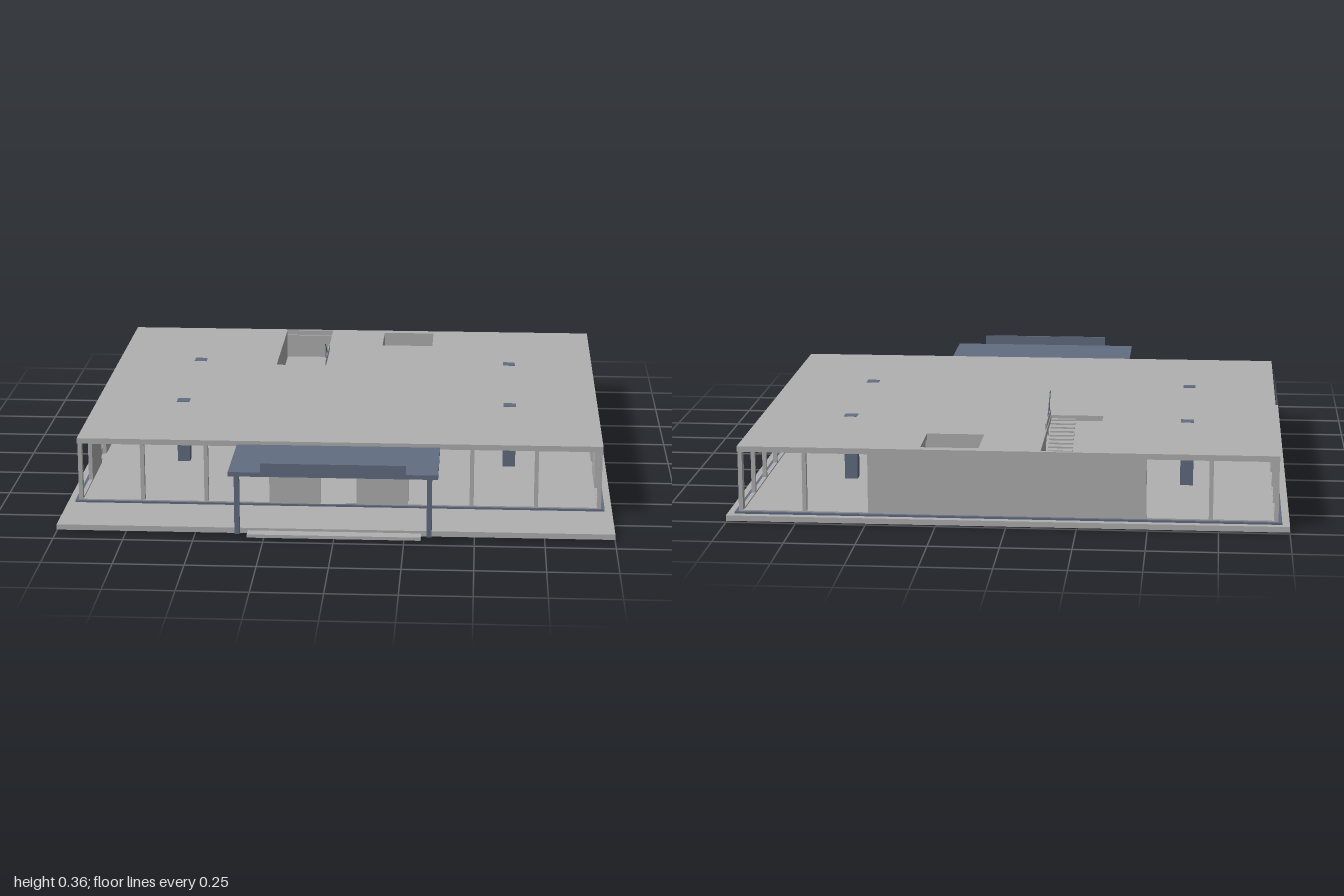
import * as THREE from 'three';

export function createModel() {
  const model = new THREE.Group();
  const concrete = new THREE.MeshStandardMaterial({ color: 0xb0b0b0 });
  concrete.name = 'concrete grey';
  const steel = new THREE.MeshStandardMaterial({ color: 0x626d82 });
  steel.name = 'steel blue';

  // Box given by its min and max on each axis
  const box = (name, mat, [x0, x1], [y0, y1], [z0, z1], parent = model) => {
    const mesh = new THREE.Mesh(new THREE.BoxGeometry(x1 - x0, y1 - y0, z1 - z0), mat);
    mesh.position.set((x0 + x1) / 2, (y0 + y1) / 2, (z0 + z1) / 2);
    mesh.name = name;
    parent.add(mesh);
    return mesh;
  };

  // Rectangle with rectangular holes, extruded; each rectangle is [a0, a1, b0, b1]
  const trace = (path, [a0, a1, b0, b1]) => {
    path.moveTo(a0, b0);
    path.lineTo(a1, b0);
    path.lineTo(a1, b1);
    path.lineTo(a0, b1);
    path.closePath();
    return path;
  };
  const panel = (name, mat, outline, holes, depth) => {
    const shape = trace(new THREE.Shape(), outline);
    shape.holes = holes.map((h) => trace(new THREE.Path(), h));
    const geometry = new THREE.ExtrudeGeometry(shape, { depth, bevelEnabled: false });
    const mesh = new THREE.Mesh(geometry, mat);
    mesh.name = name;
    model.add(mesh);
    return mesh;
  };
  // Horizontal panel: shape coordinates are x and -z
  const slab = (name, mat, outline, holes, y, depth) => {
    const flip = ([x0, x1, z0, z1]) => [x0, x1, -z1, -z0];
    const mesh = panel(name, mat, flip(outline), holes.map(flip), depth);
    mesh.rotation.x = -Math.PI / 2;
    mesh.position.y = y;
  };

  // Ground works
  box('foundation', concrete, [-0.965, 0.965], [0, 0.006], [-0.965, 0.665]);
  box('terrace', concrete, [-1, 1], [0.005, 0.025], [-1, 0.92]);
  box('entranceStep', concrete, [-0.31, 0.31], [0.004, 0.016], [0.9, 0.965]);
  box('floor', concrete, [-0.955, 0.955], [0.02, 0.031], [-0.955, 0.655]);
  slab('plinthBand', steel, [-0.973, 0.973, -0.973, 0.668], [[-0.95, 0.95, -0.95, 0.65]], 0.02, 0.012);

  // Roof with openings over the stair and the light well
  slab('roof', concrete, [-0.962, 0.962, -0.962, 0.662],
    [[-0.315, -0.12, -0.948, -0.39], [0.102, 0.31, -0.925, -0.718]], 0.25, 0.02);

  // Front and back facades: open bays at both ends, solid in the middle
  const lo = 0.036, hi = 0.249;
  const mirrored = (bays) => bays.flatMap(([a, b]) => [[a, b, lo, hi], [-b, -a, lo, hi]]);
  const face = [-0.96, 0.96, 0.03, 0.25];
  panel('frontFacade', concrete, face,
    [...mirrored([[0.73, 0.948], [0.495, 0.715], [0.255, 0.48]]), [-0.068, 0.066, 0.032, 0.212]],
    0.02).position.z = 0.64;
  panel('backFacade', concrete, face,
    mirrored([[0.73, 0.948], [0.495, 0.715]]), 0.02).position.z = -0.96;

  // Side facades: shape runs along -z
  const sideHoles = [[-0.635, -0.43, lo, hi], [-0.21, -0.092, 0.032, 0.212]];
  for (let i = 0; i < 4; i++) {
    const a = 0.052 + i * 0.222;
    sideHoles.push([a, a + 0.207, lo, hi]);
  }
  for (const x of [-0.96, 0.945]) {
    const side = panel('sideFacade', concrete, [-0.66, 0.96, 0.03, 0.25], sideHoles, 0.015);
    side.rotation.y = Math.PI / 2;
    side.position.x = x;
  }

  // Columns that pass through the roof
  for (const x of [-0.63, 0.627]) {
    for (const z of [-0.45, 0.145]) {
      box('column', steel, [x - 0.024, x + 0.024], [0.03, 0.2715], [z - 0.024, z + 0.024]);
    }
  }

  // Core walls
  box('coreWallRight', concrete, [-0.327, -0.315], [0.03, 0.2502], [-0.95, -0.05]);
  box('coreWallLeft', concrete, [0.315, 0.327], [0.03, 0.2502], [-0.95, -0.05]);
  box('stairWall', concrete, [-0.118, -0.106], [0.03, 0.2502], [-0.95, -0.64]);
  box('lightWellWall', concrete, [0.09, 0.102], [0.03, 0.2502], [-0.95, -0.715]);
  panel('lightWellFront', concrete, [0.09, 0.32, 0.03, 0.2502],
    [[0.2, 0.272, 0.032, 0.2]], 0.01).position.z = -0.718;

  // Two-flight stair
  const stair = new THREE.Group();
  stair.name = 'stair';
  model.add(stair);
  const steps = 11, run = 0.245 / steps, rise = 0.0108;
  for (let i = 0; i < steps; i++) {
    const yLow = 0.042 + i * rise;
    const zLow = -0.39 - i * run;
    box('lowerTread', concrete, [-0.312, -0.226], [yLow - 0.006, yLow], [zLow - run, zLow - 0.004], stair);
    const yHigh = 0.165 + i * 0.0095;
    const zHigh = -0.638 + i * run;
    box('upperTread', concrete, [-0.212, -0.121], [yHigh - 0.006, yHigh], [zHigh, zHigh + run - 0.004], stair);
  }
  box('landing', concrete, [-0.314, -0.12], [0.148, 0.156], [-0.948, -0.638], stair);

  // Sloping handrail and low roof guard beside the stair
  const bar = (name, a, b) => {
    const path = new THREE.LineCurve3(new THREE.Vector3(...a), new THREE.Vector3(...b));
    const mesh = new THREE.Mesh(new THREE.TubeGeometry(path, 1, 0.002, 6), steel);
    mesh.name = name;
    stair.add(mesh);
  };
  bar('handrail', [-0.116, 0.225, -0.635], [-0.116, 0.362, -0.385]);
  bar('handrailPost', [-0.116, 0.27, -0.42], [-0.116, 0.343, -0.42]);
  bar('handrailPost', [-0.116, 0.22, -0.51], [-0.116, 0.294, -0.51]);
  box('roofGuard', concrete, [-0.118, -0.114], [0.268, 0.293], [-0.63, -0.385], stair);

  // Entrance canopy with posts and a blank fascia board
  box('canopy', steel, [-0.372, 0.37], [0.241, 0.257], [0.663, 0.992]);
  for (const x of [-0.342, 0.34]) {
    box('canopyPost', steel, [x - 0.009, x + 0.009], [0.026, 0.242], [0.972, 0.99]);
  }
  box('fasciaBoard', steel, [-0.257, 0.257], [0.257, 0.293], [0.992, 1]);

  return model;
}
